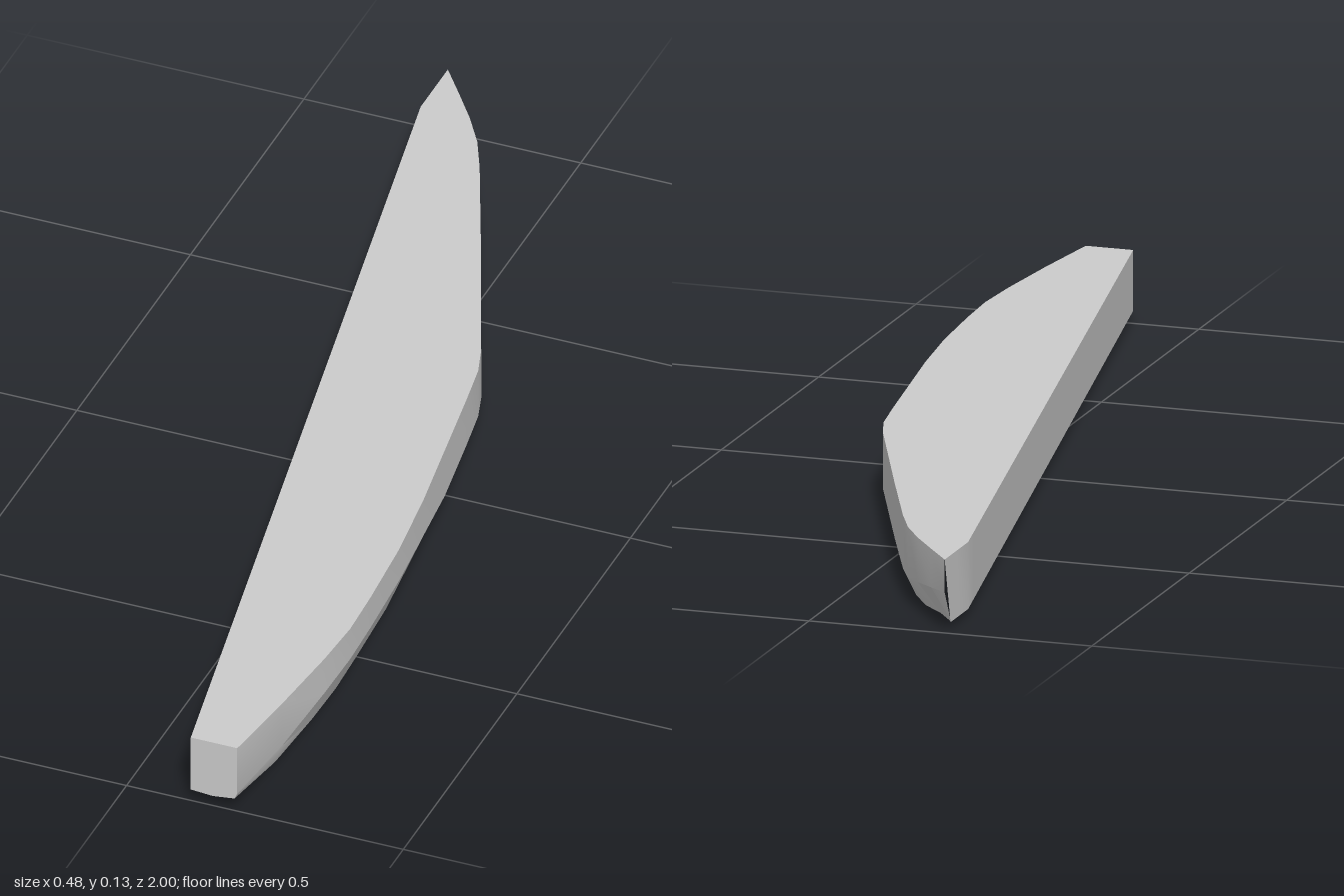
import * as THREE from 'three';
import { toCreasedNormals } from 'three/addons/utils/BufferGeometryUtils.js';

// Stations along the curved side, back to front:
// z, top edge x, bevel start height, bevel inset, bottom height, backward tip shift
const STATIONS = [
  [-1.0, -0.24, 0.07, 0, 0.015, 0.03],
  [-0.94, -0.195, 0.06, 0.012, 0.013, 0.015],
  [-0.88, -0.151, 0.05, 0.015, 0.011, 0],
  [-0.82, -0.113, 0.04, 0.015, 0.01, 0],
  [-0.75, -0.08, 0.035, 0.014, 0.009, 0],
  [-0.56, 0.0, 0.032, 0.014, 0.007, 0],
  [-0.25, 0.128, 0.03, 0.014, 0.005, 0],
  [-0.19, 0.147, 0.035, 0.015, 0.004, 0],
  [-0.1, 0.162, 0.035, 0.015, 0.004, 0],
  [0.05, 0.185, 0.035, 0.016, 0.002, 0],
  [0.2, 0.208, 0.055, 0.022, 0.001, 0],
  [0.35, 0.226, 0.064, 0.024, 0, 0],
  [0.5, 0.236, 0.066, 0.026, 0, 0],
  [0.6, 0.24, 0.066, 0.026, 0, 0],
  [0.7, 0.234, 0.058, 0.021, 0.002, 0],
  [0.85, 0.219, 0.042, 0.012, 0.007, 0],
  [1.0, 0.2, 0.035, 0.005, 0.024, 0],
];
const TOP = 0.127;

// Cross-section, counter-clockwise seen from the front
function section([z, x, bevelY, inset, bottomY, shift]) {
  const t = Math.max(0, (z + 0.88) / 1.88);
  const innerX = -0.24 + 0.356 * t;
  const innerY = 0.011 + 0.011 * t;
  const outerX = x - inset;
  return [
    [innerX, TOP, z],
    [innerX, innerY, z + shift],
    [(innerX + outerX) / 2, (innerY + bottomY) / 2 - 0.004 * t, z + shift],
    [outerX, bottomY, z + shift],
    [x, bevelY, z],
    [x, TOP, z],
  ];
}

export function createModel() {
  const rings = STATIONS.map(section);
  const positions = [];
  const tri = (a, b, c) => {
    const [A, B, C] = [a, b, c].map((p) => new THREE.Vector3(...p));
    if (B.sub(A).cross(C.sub(A)).length() > 1e-8) positions.push(...a, ...b, ...c);
  };

  // Skin between neighbouring sections
  for (let i = 0; i < rings.length - 1; i++) {
    const p = rings[i], q = rings[i + 1], n = p.length;
    for (let j = 0; j < n; j++) {
      const k = (j + 1) % n;
      tri(p[j], p[k], q[k]);
      tri(p[j], q[k], q[j]);
    }
  }
  // Flat front end
  const end = rings[rings.length - 1];
  for (let j = 1; j < end.length - 1; j++) tri(end[0], end[j], end[j + 1]);

  const geometry = new THREE.BufferGeometry();
  geometry.setAttribute('position', new THREE.Float32BufferAttribute(positions, 3));
  const slab = new THREE.Mesh(
    toCreasedNormals(geometry, 0.35),
    new THREE.MeshStandardMaterial({ color: 0xcccccc })
  );
  slab.name = 'curvedSlab';

  const group = new THREE.Group();
  group.name = 'bevelledCurvedSlab';
  group.add(slab);
  return group;
}
